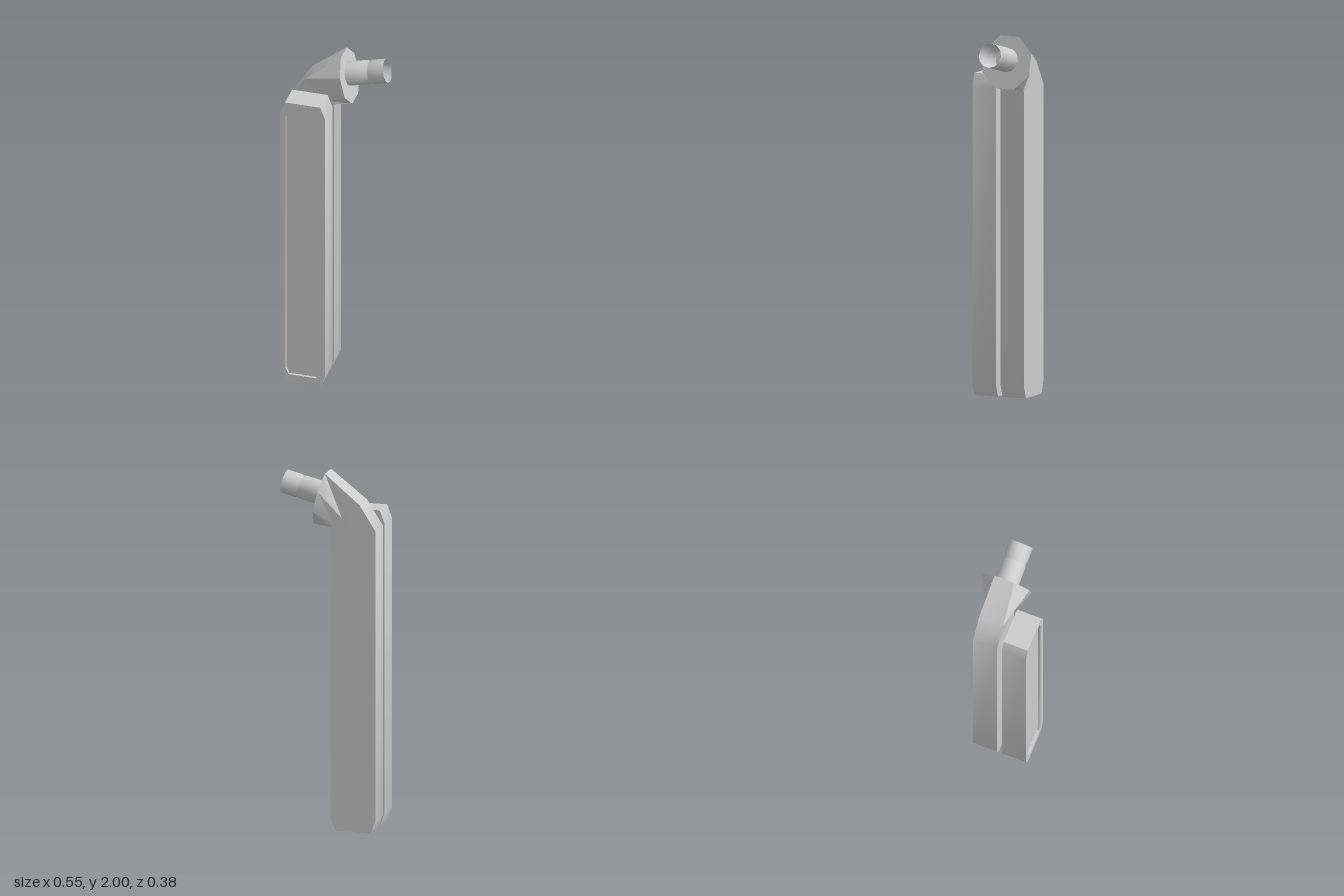
import * as THREE from 'three';
import { toCreasedNormals } from 'three/addons/utils/BufferGeometryUtils.js';

// Upright rectangle with cut corners
function cutCorners(Kind, x0, x1, y0, y1, cx, cy) {
  return new Kind([
    [x0 + cx, y0], [x1 - cx, y0], [x1, y0 + cy], [x1, y1 - cy],
    [x1 - cx, y1], [x0 + cx, y1], [x0, y1 - cy], [x0, y0 + cy],
  ].map(([x, y]) => new THREE.Vector2(x, y)));
}

// Skin over rings of equal point count, with flat caps
function loft(rings) {
  const n = rings[0].length, index = [];
  for (let i = 0; i < rings.length - 1; i++) {
    for (let j = 0; j < n; j++) {
      const a = i * n + j, b = i * n + (j + 1) % n;
      index.push(a, b, b + n, a, b + n, a + n);
    }
  }
  const top = (rings.length - 1) * n;
  for (let j = 1; j < n - 1; j++) {
    index.push(0, j + 1, j, top, top + j, top + j + 1);
  }
  const geo = new THREE.BufferGeometry();
  geo.setAttribute('position', new THREE.Float32BufferAttribute(rings.flat(2), 3));
  geo.setIndex(index);
  return toCreasedNormals(geo, 0.65);
}

export function createModel() {
  const model = new THREE.Group();
  const grey = new THREE.MeshStandardMaterial({ color: 0xcccccc });
  const greyOpen = new THREE.MeshStandardMaterial({ color: 0xcccccc, side: THREE.DoubleSide });
  greyOpen.name = 'light grey, open surface';
  grey.name = 'light grey';
  const add = (name, geo, mat = grey) => {
    const mesh = new THREE.Mesh(geo, mat);
    mesh.name = name;
    model.add(mesh);
    return mesh;
  };

  // Front cover: a frame around a slightly sunken panel
  const slab = (shape, depth) => toCreasedNormals(
    new THREE.ExtrudeGeometry(shape, { depth, bevelEnabled: false }).translate(0, 0, 0.048), 0.6);
  const inner = [-0.25, -0.06, 0.05, 1.727, 0.018, 0.04];
  const frame = cutCorners(THREE.Shape, -0.28, -0.025, 0, 1.775, 0.027, 0.07);
  frame.holes.push(cutCorners(THREE.Path, ...inner));
  add('coverFrame', slab(frame, 0.141));
  add('coverPanel', slab(cutCorners(THREE.Shape, ...inner), 0.126));

  // Rear body: rectangular sections that bend over and flare into an octagonal flange
  const zMid = -0.05, half = 0.07;
  const section = ([lx, ly], [rx, ry], profile) => {
    const side = (s) => profile.map(([t, w]) => [lx + (rx - lx) * t, ly + (ry - ly) * t, zMid + s * w]);
    return [...side(1), ...side(-1).reverse()];
  };
  const box = [[0, half], [0.6, half], [0.88, half], [1, half]];
  const octagon = [[0, 0.058], [0.293, 0.14], [0.707, 0.14], [1, 0.058]];
  add('bodyAndNeck', loft([
    section([-0.253, 0], [-0.052, 0], box),
    section([-0.28, 0.07], [-0.025, 0.07], box),
    section([-0.28, 1.7], [-0.025, 1.69], box),
    section([-0.19, 1.84], [-0.022, 1.705], box),
    section([0.011, 2], [0.075, 1.717], octagon),
  ]));

  // Open spout with a shallow groove, square to the flange
  const profile = [[0.067, -0.005], [0.067, 0.115], [0.063, 0.123], [0.063, 0.133], [0.067, 0.141], [0.067, 0.224]];
  const spout = add('spout', toCreasedNormals(
    new THREE.LatheGeometry(profile.map(([r, y]) => new THREE.Vector2(r, y)), 12), 0.7), greyOpen);
  spout.position.set(0.041, 1.873, zMid + 0.002);
  spout.rotation.z = -Math.PI / 2 + 0.24;

  return model;
}
